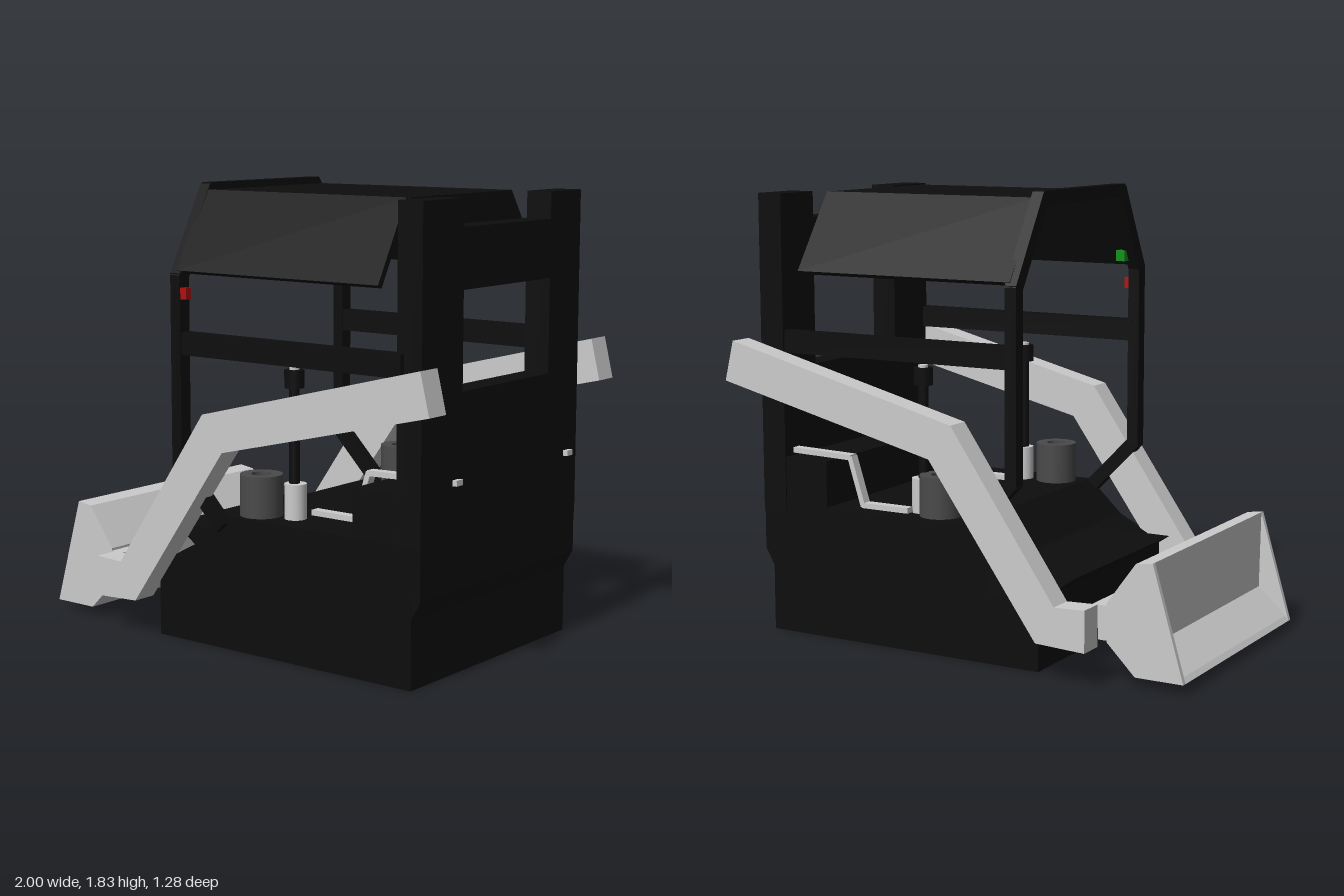
import * as THREE from 'three';

const mat = (color) => new THREE.MeshStandardMaterial({ color });
const grey = mat(0xcccccc), black = mat(0x0d0d0d), dark = mat(0x4a4a4a);
const red = mat(0xb01010), green = mat(0x10901c);

export function createModel() {
  const model = new THREE.Group();

  const add = (name, geometry, material) => {
    const mesh = new THREE.Mesh(geometry, material);
    mesh.name = name;
    model.add(mesh);
    return mesh;
  };

  // box given by its extents
  const box = (name, material, x0, x1, y0, y1, z0, z1) =>
    add(name, new THREE.BoxGeometry(x1 - x0, y1 - y0, z1 - z0), material)
      .position.set((x0 + x1) / 2, (y0 + y1) / 2, (z0 + z1) / 2);

  // side profile in x and y, swept from z0 to z1
  const slab = (name, material, points, z0, z1) => {
    const shape = new THREE.Shape(points.map(([x, y]) => new THREE.Vector2(x, y)));
    const g = new THREE.ExtrudeGeometry(shape, { depth: z1 - z0, bevelEnabled: false });
    return add(name, g.translate(0, 0, z0), material);
  };

  // square bar between consecutive points
  const bars = (name, material, points, w, h) => {
    for (let i = 1; i < points.length; i++) {
      const a = new THREE.Vector3(...points[i - 1]), b = new THREE.Vector3(...points[i]);
      const mesh = add(name, new THREE.BoxGeometry(w, h, a.distanceTo(b) + h * 0.4), material);
      mesh.position.copy(a).add(b).multiplyScalar(0.5);
      mesh.lookAt(b);
    }
  };

  const post = (name, material, r, x, y0, y1, z, sides = 24) =>
    add(name, new THREE.CylinderGeometry(r, r, y1 - y0, sides), material)
      .position.set(x, (y0 + y1) / 2, z);

  // chassis, front step and rear deck
  slab('chassis', black, [[-0.39, 0], [0.86, 0], [0.86, 0.27], [0.9, 0.34], [0.9, 0.54],
    [-0.05, 0.54], [-0.2, 0.4], [-0.39, 0.3]], -0.53, 0.54);
  slab('frontStep', black, [[-0.56, 0.395], [-0.39, 0.28], [-0.18, 0.28], [-0.18, 0.395]], -0.54, 0.27);
  box('rearDeck', black, 0.59, 0.8, 0.53, 0.73, -0.53, 0.54);

  // rear wall: two columns, lower panel, header over the window
  box('rearColumn', black, 0.79, 0.9, 0.5, 1.8, 0.28, 0.54);
  box('rearColumn', black, 0.79, 0.9, 0.5, 1.8, -0.535, -0.315);
  box('rearPanel', black, 0.79, 0.9, 0.5, 1.09, -0.32, 0.285);
  box('rearHeader', black, 0.79, 0.9, 1.465, 1.695, -0.32, 0.285);

  // cab hoop, with feet that slope back to the chassis
  bars('cabHoop', black, [[-0.05, 0.5, 0.54], [-0.265, 0.72, 0.54], [-0.265, 1.47, 0.54],
    [-0.265, 1.8, 0.365], [-0.265, 1.8, -0.295], [-0.265, 1.47, -0.5], [-0.265, 0.72, -0.5],
    [-0.05, 0.5, -0.5]], 0.05, 0.055);

  // roof panels and side rails
  box('roof', black, -0.26, 0.72, 1.77, 1.8, -0.31, 0.36);
  bars('roofSide', black, [[0.23, 1.49, 0.55], [0.23, 1.79, 0.385]], 0.98, 0.025);
  bars('roofSide', black, [[0.23, 1.49, -0.51], [0.23, 1.79, -0.305]], 0.98, 0.025);
  box('sideRail', black, -0.26, 0.82, 1.16, 1.25, 0.51, 0.56);
  box('sideRail', black, -0.26, 0.82, 1.16, 1.25, -0.525, -0.475);

  // hollow canisters
  for (const [x, z] of [[0.065, 0.44], [0.115, -0.42]]) {
    const wall = [[0, 0.54], [0.085, 0.54], [0.085, 0.705], [0.04, 0.705], [0.04, 0.6], [0, 0.6]];
    for (let i = 1; i < wall.length; i++) {
      const pair = [wall[i - 1], wall[i]].map(([r, y]) => new THREE.Vector2(r, y));
      add('canister', new THREE.LatheGeometry(pair, 24), dark).position.set(x, 0, z);
    }
  }

  // control levers on their bases
  for (const z of [0.41, -0.4]) {
    post('leverBase', grey, 0.044, 0.212, 0.54, 0.68, z);
    post('leverRod', black, 0.021, 0.207, 0.66, 1.07, z, 12);
    post('leverKnob', black, 0.04, 0.207, 1.055, 1.125, z, 10);
    post('leverButton', grey, 0.02, 0.207, 1.12, 1.135, z, 10);
  }

  // bent handrails passing through the rear wall
  for (const z of [0.32, -0.46]) {
    bars('handrail', grey, [[0.24, 0.555, z], [0.45, 0.555, z], [0.51, 0.745, z], [0.915, 0.755, z]], 0.04, 0.022);
  }

  // lift arms
  const arm = [[0.96, 1.21], [-0.07, 0.95], [-0.52, 0.3], [-0.65, 0.305], [-0.65, 0.14],
    [-0.44, 0.15], [0.03, 0.81], [1.0, 1.045]];
  for (const z of [0.53, -0.645]) slab('liftArm', grey, arm, z, z + 0.105);

  // bucket: scooped core, full end plates, coupler along the back
  slab('bucketShell', grey, [[-1, 0.04], [-0.8, 0.04], [-0.68, 0.16], [-0.68, 0.31], [-0.8, 0.475],
    [-0.87, 0.485], [-0.865, 0.17], [-0.985, 0.06]], -0.505, 0.5);
  for (const z of [-0.525, 0.5]) {
    slab('bucketEnd', grey, [[-1, 0.04], [-0.8, 0.04], [-0.68, 0.16], [-0.68, 0.31], [-0.8, 0.475],
      [-0.87, 0.485]], z, z + 0.02);
  }
  box('bucketCoupler', grey, -0.69, -0.62, 0.21, 0.3, -0.525, 0.52);
  box('couplerLip', grey, -0.69, -0.645, 0.165, 0.215, -0.525, 0.52);

  // marker lamps
  box('redLamp', red, -0.25, -0.21, 1.38, 1.425, 0.535, 0.565);
  box('greenLamp', green, -0.25, -0.21, 1.5, 1.545, 0.455, 0.49);

  return model;
}
